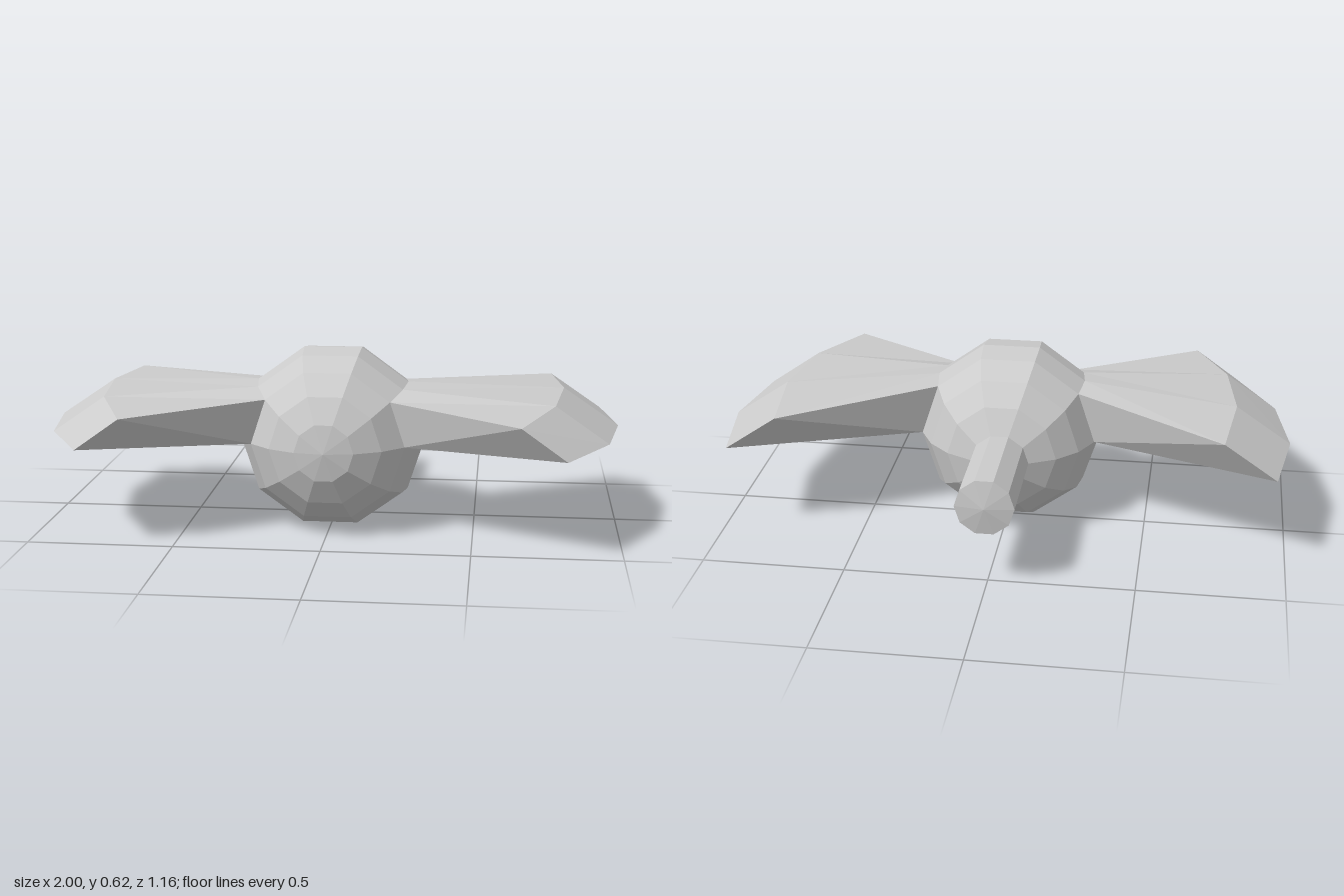
import * as THREE from 'three';

const R = 0.327, CY = 0.313, CZ = 0.092, STEP = Math.PI / 10;
const makeMaterial = () => new THREE.MeshStandardMaterial({ color: 0xcccccc, flatShading: true });

// Ten-sided ball whose rear pole is drawn out into a short tail
function makeBody() {
  const points = [new THREE.Vector2(0, -0.585 - CZ), new THREE.Vector2(R * Math.sin(STEP), -0.57 - CZ)];
  for (let i = 1; i <= 10; i++) {
    points.push(new THREE.Vector2(i === 10 ? 0 : R * Math.sin(i * STEP), -R * Math.cos(i * STEP)));
  }
  const geometry = new THREE.LatheGeometry(points, 10, Math.PI / 2);
  geometry.rotateX(Math.PI / 2);
  const body = new THREE.Mesh(geometry, makeMaterial());
  body.name = 'bodyWithTail';
  body.position.set(0, CY, CZ);
  return body;
}

// Point on the ball: angle around the z axis, latitude towards +z
function ballPoint(angle, lat) {
  const r = R * Math.cos(lat);
  return [r * Math.cos(angle), CY + r * Math.sin(angle), CZ + R * Math.sin(lat)];
}

// Wing fanning out from three ball faces; side is +1 (left) or -1 (right)
function makeWing(side) {
  // Tip stations, front to back: z, upper x, upper y, lower x
  const tips = [
    [0.58, 0.655, 0.453, 0.805],
    [0.305, 0.77, 0.472, 0.952],
    [0, 0.807, 0.477, 1],
    [-0.31, 0.77, 0.47, 0.952],
  ];
  // Each section: root bottom, root top, tip top, tip bottom
  const sections = tips.map(([z, upperX, upperY, lowerX], i) => {
    const lat = (2 - i) * STEP;
    return [ballPoint(0, lat), ballPoint(2 * STEP, lat), [upperX, upperY, z], [lowerX, 0.346, z]];
  });

  const positions = [];
  const addQuad = (a, b, c, d) => {
    const corners = side > 0 ? [a, b, c, a, c, d] : [a, c, b, a, d, c];
    corners.forEach(([x, y, z]) => positions.push(side * x, y, z));
  };
  for (let i = 0; i < 3; i++) {
    const front = sections[i], back = sections[i + 1];
    // Top, tip and underside
    for (let k = 1; k < 4; k++) {
      const n = (k + 1) % 4;
      addQuad(front[k], front[n], back[n], back[k]);
    }
  }
  // Leading and trailing walls
  const [rb, rt, tt, tb] = sections[0];
  addQuad(rb, tb, tt, rt);
  addQuad(...sections[3]);

  const geometry = new THREE.BufferGeometry();
  geometry.setAttribute('position', new THREE.Float32BufferAttribute(positions, 3));
  geometry.computeVertexNormals();
  const wing = new THREE.Mesh(geometry, makeMaterial());
  wing.name = side > 0 ? 'leftWing' : 'rightWing';
  return wing;
}

export function createModel() {
  const model = new THREE.Group();
  model.name = 'wingedBall';
  model.add(makeBody(), makeWing(1), makeWing(-1));
  return model;
}
